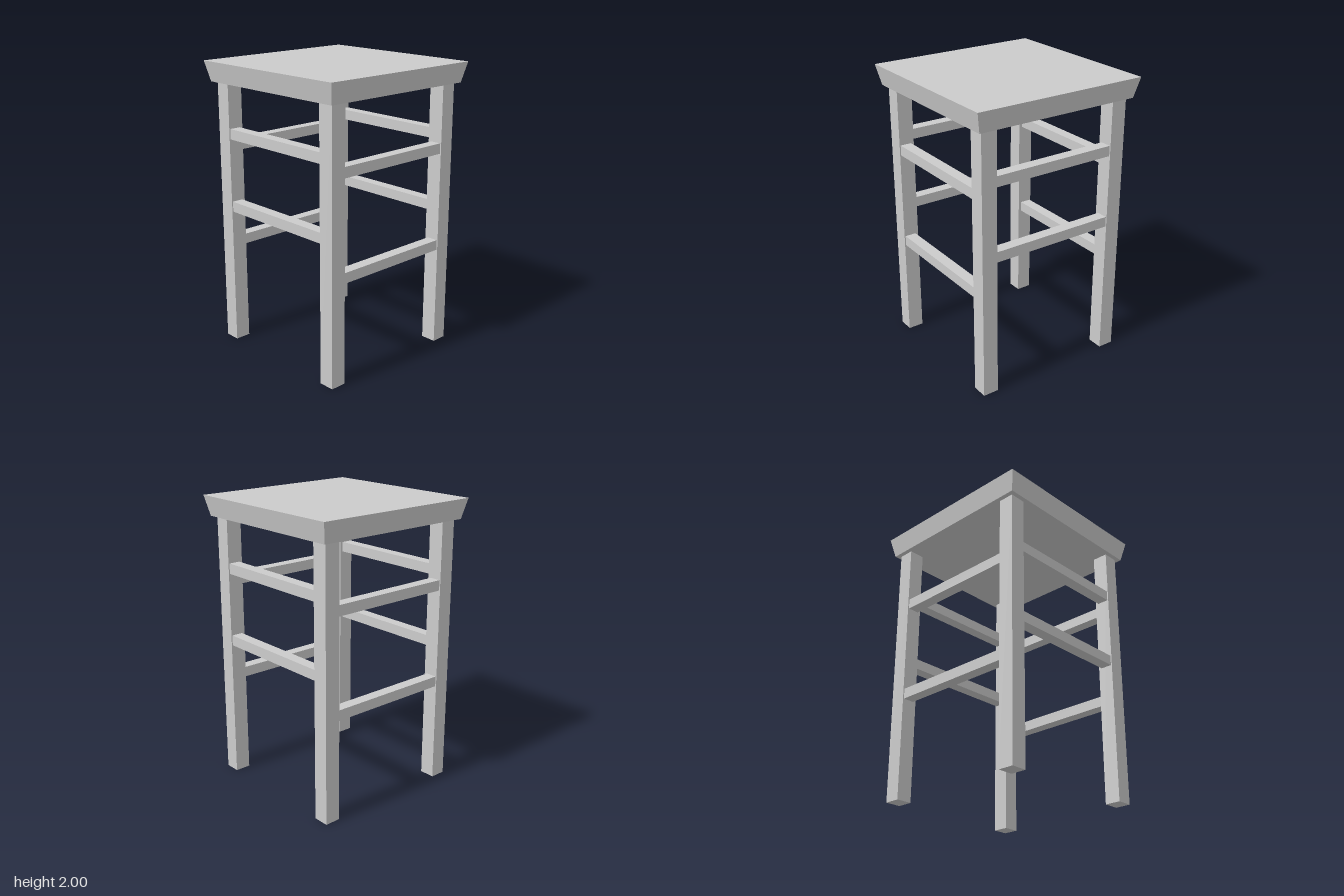
import * as THREE from 'three';

export function createModel() {
  const stool = new THREE.Group();
  stool.name = 'stool';
  const material = new THREE.MeshStandardMaterial({ color: 0xcccccc, flatShading: true });

  function addBox(name, size, position) {
    const mesh = new THREE.Mesh(new THREE.BoxGeometry(...size), material);
    mesh.name = name;
    mesh.position.set(...position);
    stool.add(mesh);
    return mesh;
  }

  // Square seat, tapering inward toward its underside
  const seat = addBox('seat', [1.24, 0.14, 1.24], [0, 1.93, 0]);
  const corners = seat.geometry.attributes.position;
  for (let i = 0; i < corners.count; i++) {
    if (corners.getY(i) < 0) {
      corners.setX(i, corners.getX(i) * 0.95);
      corners.setZ(i, corners.getZ(i) * 0.95);
    }
  }
  seat.geometry.computeVertexNormals();

  // Four straight legs
  const legCentre = 0.503, legWidth = 0.11, legHeight = 1.87;
  for (const x of [-1, 1]) {
    for (const z of [-1, 1]) {
      addBox(`${z > 0 ? 'front' : 'back'}${x > 0 ? 'Left' : 'Right'}Leg`,
        [legWidth, legHeight, legWidth], [x * legCentre, legHeight / 2, z * legCentre]);
    }
  }

  // Two rails per side, near the outer leg faces; side rails sit lower
  const railLength = 0.91, railHeight = 0.072, railDepth = 0.08, railCentre = 0.51;
  for (const s of [-1, 1]) {
    for (const y of [1.515, 1.003]) {
      addBox(s > 0 ? 'frontRail' : 'backRail',
        [railLength, railHeight, railDepth], [0, y, s * railCentre]);
    }
    for (const y of [1.425, 0.735]) {
      addBox(s > 0 ? 'leftRail' : 'rightRail',
        [railDepth, railHeight, railLength], [s * railCentre, y, 0]);
    }
  }

  return stool;
}
